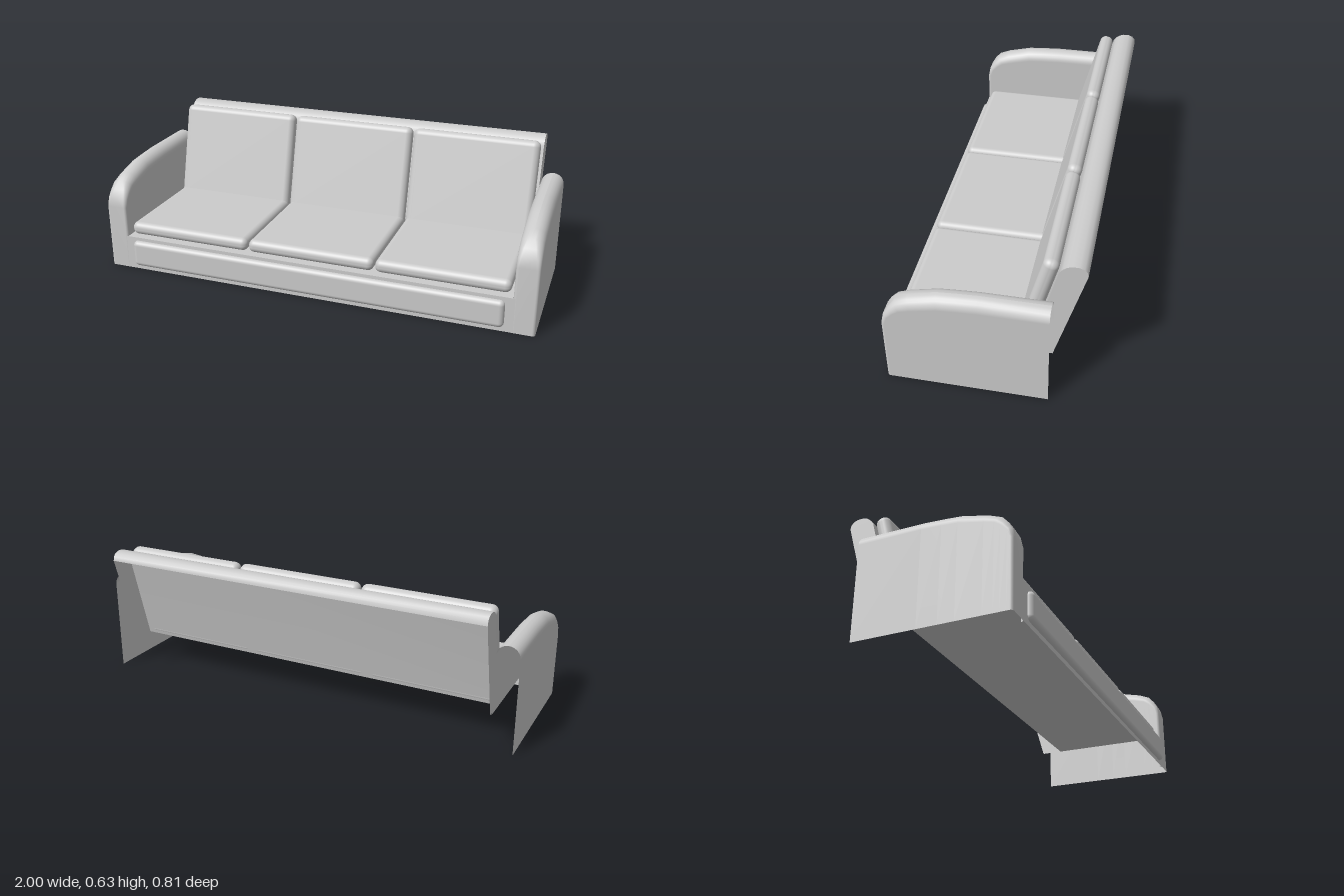
import * as THREE from 'three';
import { RoundedBoxGeometry } from 'three/addons/geometries/RoundedBoxGeometry.js';

const material = new THREE.MeshStandardMaterial({ color: 0xcccccc, side: THREE.DoubleSide });

function add(parent, name, geometry) {
  const mesh = new THREE.Mesh(geometry, material);
  mesh.name = name;
  parent.add(mesh);
  return mesh;
}

// Smooth sheet through equal-length rows of [x, y, z] points
function sheet(rows) {
  const n = rows[0].length;
  const index = [];
  for (let i = 0; i < rows.length - 1; i++) {
    for (let j = 0; j < n - 1; j++) {
      const a = i * n + j, b = a + n;
      index.push(a, b, a + 1, b, b + 1, a + 1);
    }
  }
  const g = new THREE.BufferGeometry();
  g.setAttribute('position', new THREE.Float32BufferAttribute(rows.flat(2), 3));
  g.setIndex(index);
  g.computeVertexNormals();
  return g;
}

// Sheet spanning -halfWidth..halfWidth along a [z, y] profile
const span = (profile, halfWidth) =>
  sheet(profile.map(([z, y]) => [[halfWidth, y, z], [-halfWidth, y, z]]));

// Arm shell: a rounded section follows the side outline, walls drop below it
function armGeometry() {
  const outline = [[0.385, 0], [0.385, 0.3], [0.377, 0.342], [0.357, 0.378], [0.33, 0.411],
    [0.278, 0.435], [0.165, 0.464], [0.09, 0.47], [0, 0.475], [-0.28, 0.476]];
  const radii = [0.013, 0.013, 0.02, 0.03, 0.04, 0.047, 0.05, 0.05, 0.05, 0.05];
  const outer = 1, inner = 0.9, steps = 6, seatY = 0.16;
  const rows = outline.map(([z, y], i) => {
    const p = outline[Math.max(i - 1, 0)], q = outline[Math.min(i + 1, outline.length - 1)];
    const length = Math.hypot(q[0] - p[0], q[1] - p[1]);
    const nz = -(q[1] - p[1]) / length, ny = (q[0] - p[0]) / length;
    const r = radii[i];
    const edge = (x, side, t) => {
      const inset = r * (1 - Math.sin(t));
      return [x - side * r * (1 - Math.cos(t)), y + ny * inset, z + nz * inset];
    };
    const arc = [];
    for (let k = 0; k <= steps; k++) arc.push(edge(outer, 1, (k / steps) * Math.PI / 2));
    for (let k = steps; k >= 0; k--) arc.push(edge(inner, -1, (k / steps) * Math.PI / 2));
    const wallZ = arc[0][2], wallY = arc[0][1];
    return [[outer, 0, wallZ], ...arc, [inner, Math.min(seatY, wallY), wallZ]];
  });
  return sheet(rows);
}

export function createModel() {
  const sofa = new THREE.Group();
  sofa.name = 'sofa';

  // Arms
  const arm = armGeometry();
  add(sofa, 'leftArm', arm);
  add(sofa, 'rightArm', arm).scale.x = -1;

  // Base: front panel and seat deck, open below
  add(sofa, 'basePanel', span([[0.3845, 0], [0.3845, 0.16]], 0.97));
  add(sofa, 'seatDeck', span([[0.3845, 0.16], [-0.18, 0.16]], 0.9));

  // Padded front rail, flattened where it meets the base panel
  const rail = new RoundedBoxGeometry(1.74, 0.125, 0.05, 5, 0.022);
  rail.translate(0, 0.0825, 0.381);
  const pos = rail.attributes.position;
  for (let i = 0; i < pos.count; i++) pos.setZ(i, Math.max(pos.getZ(i), 0.385));
  add(sofa, 'frontRail', rail);

  // Backrest: leaning front rolled over at the top, with side panels, open behind
  const back = [[-0.18, 0.16], [-0.294, 0.594], [-0.308, 0.612], [-0.325, 0.625], [-0.345, 0.631],
    [-0.37, 0.631], [-0.389, 0.624], [-0.401, 0.61], [-0.404, 0.592]];
  add(sofa, 'backrest', span(back, 0.895));
  const outline = new THREE.Shape([...back, [-0.28, 0.16]].map(([z, y]) => new THREE.Vector2(z, y)));
  for (const side of [1, -1]) {
    const panel = add(sofa, side > 0 ? 'leftBackPanel' : 'rightBackPanel', new THREE.ShapeGeometry(outline));
    panel.rotation.y = -Math.PI / 2;
    panel.position.x = side * 0.895;
  }

  // Three seat cushions and three leaning back cushions
  const seat = new RoundedBoxGeometry(0.588, 0.06, 0.55, 5, 0.027);
  const backCushion = new RoundedBoxGeometry(0.588, 0.462, 0.064, 5, 0.029);
  for (let i = -1; i <= 1; i++) {
    const x = i * 0.595 - 0.003;
    add(sofa, 'seatCushion', seat).position.set(x, 0.191, 0.088);
    const cushion = add(sofa, 'backCushion', backCushion);
    cushion.position.set(x, 0.402, -0.207);
    cushion.rotation.x = -Math.atan(0.268);
  }
  return sofa;
}
